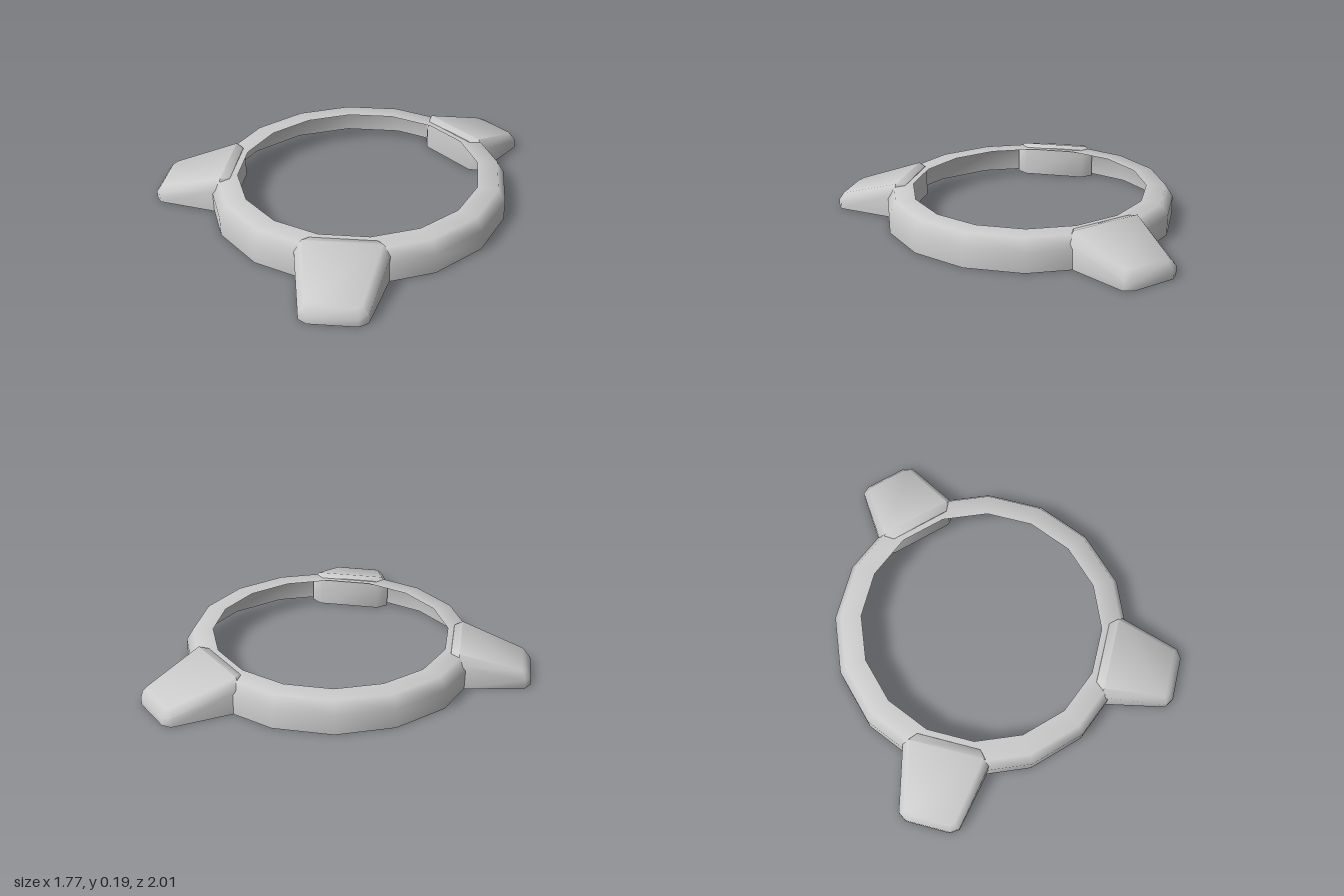
import * as THREE from 'three';
import { toCreasedNormals } from 'three/addons/utils/BufferGeometryUtils.js';

const material = new THREE.MeshStandardMaterial({ color: 0xcccccc, side: THREE.DoubleSide });

// Hollow lug: stacked loops of mirrored corners, open underneath, pointing to +z.
function lugGeometry() {
  // half outlines from the inner end to the tip: [half width, height, radius]
  const halves = [
    [[0.18, 0, 0.68], [0.24, 0, 0.73], [0.165, 0, 1.09], [0.12, 0, 1.12]],
    [[0.18, 0.16, 0.68], [0.24, 0.14, 0.73], [0.165, 0.05, 1.09], [0.12, 0.04, 1.12]],
    [[0.17, 0.178, 0.685], [0.2, 0.19, 0.73], [0.135, 0.09, 1.07], [0.11, 0.082, 1.09]],
  ];
  const loops = halves.map((h) => [...h, ...h.map(([x, y, z]) => [-x, y, z]).reverse()]);
  const n = 8;
  const index = [];
  const quad = (a, b, c, d) => index.push(a, b, c, a, c, d);

  // side walls and bevel
  for (let k = 0; k < loops.length - 1; k++) {
    for (let i = 0; i < n; i++) {
      const j = (i + 1) % n;
      quad(k * n + j, k * n + i, (k + 1) * n + i, (k + 1) * n + j);
    }
  }
  // sloping top
  const top = (loops.length - 1) * n;
  for (let i = 0; i < 3; i++) quad(top + i, top + 7 - i, top + 6 - i, top + i + 1);

  const geometry = new THREE.BufferGeometry();
  geometry.setAttribute('position', new THREE.Float32BufferAttribute(loops.flat(2), 3));
  geometry.setIndex(index);
  return toCreasedNormals(geometry, 0.9);
}

export function createModel() {
  const model = new THREE.Group();
  model.name = 'ringWithLugs';
  const centreZ = 0.12;

  // Sixteen-sided ring: outer wall, chamfer and flat top, open inside and below
  const profile = [[0.815, 0], [0.815, 0.11], [0.775, 0.175], [0.663, 0.175]]
    .map(([r, y]) => new THREE.Vector2(r, y));
  const ring = new THREE.Mesh(new THREE.LatheGeometry(profile, 16, Math.PI / 16), material);
  ring.name = 'ring';
  ring.position.z = centreZ;
  model.add(ring);

  // Three lugs: one at the back, two at the front corners
  const lug = lugGeometry();
  const places = { backLug: Math.PI, frontLeftLug: Math.PI / 4, frontRightLug: -Math.PI / 4 };
  for (const [name, angle] of Object.entries(places)) {
    const mesh = new THREE.Mesh(lug, material);
    mesh.name = name;
    mesh.position.z = centreZ;
    mesh.rotation.y = angle;
    model.add(mesh);
  }
  return model;
}
